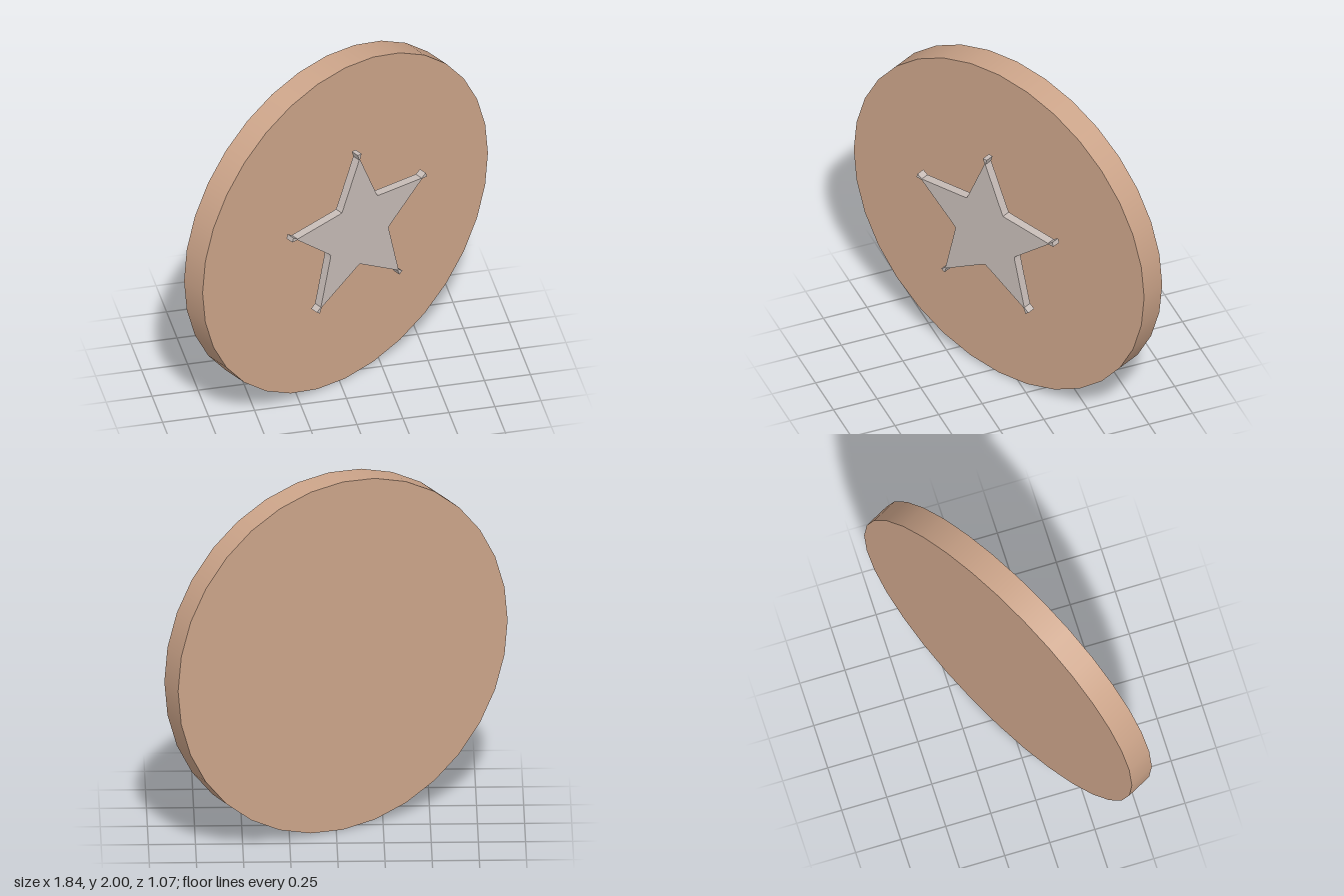
import * as THREE from 'three';

const STAR_DEPTH = 0.048;

// Five-pointed outline with softened inner corners and small flared tips
function starShape() {
  const points = [];
  const add = (angle, radius, offset) => points.push(new THREE.Vector2(
    Math.cos(angle) * radius - Math.sin(angle) * offset,
    Math.sin(angle) * radius + Math.cos(angle) * offset
  ));
  for (let i = 0; i < 5; i++) {
    const tip = Math.PI / 2 + (i * Math.PI * 2) / 5;
    const inner = tip + Math.PI / 5;
    add(tip, 0.458, -0.003);
    add(tip, 0.492, -0.013);
    add(tip, 0.492, 0.013);
    add(tip, 0.458, 0.003);
    add(inner, 0.222, -0.018);
    add(inner, 0.213, 0);
    add(inner, 0.222, 0.018);
  }
  return new THREE.Shape(points);
}

export function createModel() {
  const tan = new THREE.MeshStandardMaterial({ color: 0xcda58a });
  tan.name = 'tan';
  const paleGrey = new THREE.MeshStandardMaterial({ color: 0xc8bdb8 });
  paleGrey.name = 'pale grey';

  const model = new THREE.Group();
  model.name = 'starMedallion';

  // Everything is turned together about the vertical axis
  const medallion = new THREE.Group();
  medallion.name = 'medallion';
  medallion.position.y = 1;
  medallion.rotation.y = THREE.MathUtils.degToRad(28);
  model.add(medallion);

  // Upright round plate
  const discGeometry = new THREE.CylinderGeometry(1, 1, 0.15, 32);
  discGeometry.rotateX(Math.PI / 2);
  const disc = new THREE.Mesh(discGeometry, tan);
  disc.name = 'disc';
  medallion.add(disc);

  // Star floating in front of the plate
  const starGeometry = new THREE.ExtrudeGeometry(starShape(), { depth: STAR_DEPTH, bevelEnabled: false });
  const star = new THREE.Mesh(starGeometry, paleGrey);
  star.name = 'star';
  star.position.set(0, 0.01, 0.144);
  medallion.add(star);

  return model;
}
